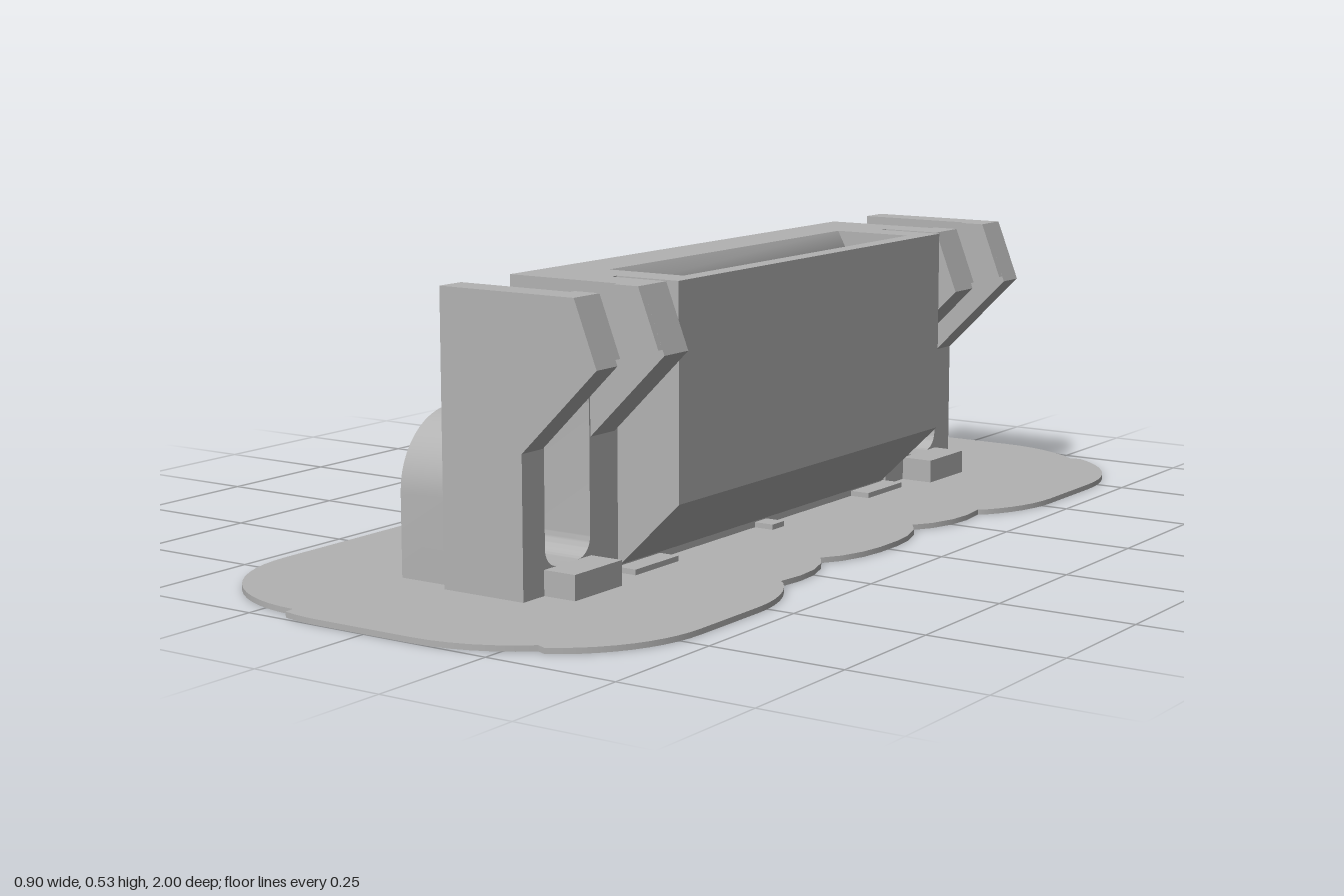
import * as THREE from 'three';
import { toCreasedNormals } from 'three/addons/utils/BufferGeometryUtils.js';

const grey = new THREE.MeshStandardMaterial({ color: 0xb2b2b2 });
grey.name = 'plain grey';

const v = (pts) => pts.map(([x, y]) => new THREE.Vector2(x, y));

function extrude(shape, depth) {
  return new THREE.ExtrudeGeometry(shape, { depth, bevelEnabled: false, curveSegments: 12 });
}

// Points along a circular arc, angles in degrees
function arc(cx, cy, r, a0, a1, n = 10) {
  return Array.from({ length: n + 1 }, (_, i) => {
    const a = THREE.MathUtils.degToRad(a0 + ((a1 - a0) * i) / n);
    return [cx + r * Math.cos(a), cy + r * Math.sin(a)];
  });
}

function roundedRect(path, x0, y0, x1, y1, r) {
  path.moveTo(x0 + r, y0);
  path.lineTo(x1 - r, y0);
  path.absarc(x1 - r, y0 + r, r, -Math.PI / 2, 0);
  path.lineTo(x1, y1 - r);
  path.absarc(x1 - r, y1 - r, r, 0, Math.PI / 2);
  path.lineTo(x0 + r, y1);
  path.absarc(x0 + r, y1 - r, r, Math.PI / 2, Math.PI);
  path.lineTo(x0, y0 + r);
  path.absarc(x0 + r, y0 + r, r, Math.PI, Math.PI * 1.5);
  return path;
}

export function createModel() {
  const model = new THREE.Group();
  model.name = 'socketOnPlate';

  const add = (name, geometry) => {
    const mesh = new THREE.Mesh(toCreasedNormals(geometry, 0.5), grey);
    mesh.name = name;
    model.add(mesh);
  };
  const box = (name, x0, x1, y0, y1, z0, z1) => add(name,
    new THREE.BoxGeometry(x1 - x0, y1 - y0, z1 - z0)
      .translate((x0 + x1) / 2, (y0 + y1) / 2, (z0 + z1) / 2));
  // Profile in x, y drawn out along z
  const alongZ = (name, pts, z0, z1) =>
    add(name, extrude(new THREE.Shape(v(pts)), z1 - z0).translate(0, 0, z0));
  // Profile in z, y drawn out along x
  const alongX = (name, shape, x0, x1) =>
    add(name, extrude(shape, x1 - x0).rotateY(-Math.PI / 2).translate(x1, 0, 0));

  // Thin scalloped base plate, mirrored across z = 0
  const half = [
    [0.39, 0.03], [0.384, 0.08], [0.368, 0.13], [0.345, 0.165],
    [0.368, 0.2], [0.384, 0.25], [0.388, 0.3], [0.382, 0.355],
    ...arc(0.18, 0.53, 0.27, -38, 0, 6),
    ...arc(0.18, 0.7, 0.27, 0, 60),
    ...arc(0.1, 0.7, 0.3, 49, 90, 6),
    ...arc(-0.1, 0.7, 0.3, 90, 105, 3),
    ...arc(-0.18, 0.7, 0.27, 90, 180, 14),
    [-0.45, 0.07], [-0.437, 0.005],
  ];
  const outline = [...half, ...half.map(([x, z]) => [x, -z]).reverse()];
  add('basePlate', extrude(new THREE.Shape(v(outline)), 0.01)
    .rotateX(Math.PI / 2).translate(0, 0.01, 0));

  // Housing: open trough in the middle, solid at both ends
  const outer = [[0.235, 0.53], [0.235, 0.143], [0.11, 0.022], [0.11, 0.01], [-0.06, 0.01], [-0.06, 0.53]];
  const trough = [[0.042, 0.53], [0.058, 0.5], [0.058, 0.15], [0.175, 0.15], [0.175, 0.515], [0.2, 0.515], [0.2, 0.53]];
  alongZ('housingTrough', [...outer, ...trough], -0.385, 0.385);
  box('slotKey', 0.058, 0.11, 0.15, 0.4, -0.035, 0.035);

  // Rear block with rounded upper corners, and its rib
  const rear = [[-0.7, 0.01], [0.7, 0.01], ...arc(0.565, 0.16, 0.135, 0, 90, 12), ...arc(-0.565, 0.16, 0.135, 90, 180, 12)];
  alongX('rearBlock', new THREE.Shape(v(rear)), -0.175, -0.06);
  box('rearRib', -0.195, -0.175, 0.09, 0.295, -0.02, 0.017);

  // Parts repeated at each end
  const arm = [[-0.06, 0.01], [0.11, 0.01], [0.11, 0.262], [0.265, 0.415], [0.22, 0.53], [-0.06, 0.53]];
  const hook = [[0.18, 0.425], [0.261, 0.425], [0.22, 0.53], [0.17, 0.53]];
  for (const s of [1, -1]) {
    const span = (a, b) => (s > 0 ? [a, b] : [-b, -a]);
    alongZ('housingEnd', outer, ...span(0.385, 0.45));
    box('armBridge', -0.06, 0.105, 0.01, 0.53, ...span(0.45, 0.465));
    alongZ('innerArm', arm, ...span(0.465, 0.535));
    alongZ('outerArm', arm, ...span(0.668, 0.725));
    alongZ('innerHook', hook, ...span(0.535, 0.547));
    alongZ('outerHook', hook, ...span(0.655, 0.668));

    // Recessed pocket between the arms
    const [z0, z1] = span(0.535, 0.668);
    box('pocketBack', -0.06, 0.0, 0.01, 0.38, z0, z1);
    const frame = new THREE.Shape(v([[z0, 0.01], [z1, 0.01], [z1, 0.38], [z0, 0.38]]));
    frame.holes.push(roundedRect(new THREE.Path(), z0 + 0.003, 0.055, z1 - 0.003, 0.355, 0.035));
    alongX('pocketFrame', frame, 0.0, 0.11);
    box('foot', 0.11, 0.175, 0.01, 0.055, z0, z1);

    // Low pads under the housing
    box('solderPad', 0.1, 0.15, 0.01, 0.02, ...span(0.33, 0.46));
  }
  box('centrePad', 0.1, 0.15, 0.01, 0.02, -0.02, 0.02);

  return model;
}
